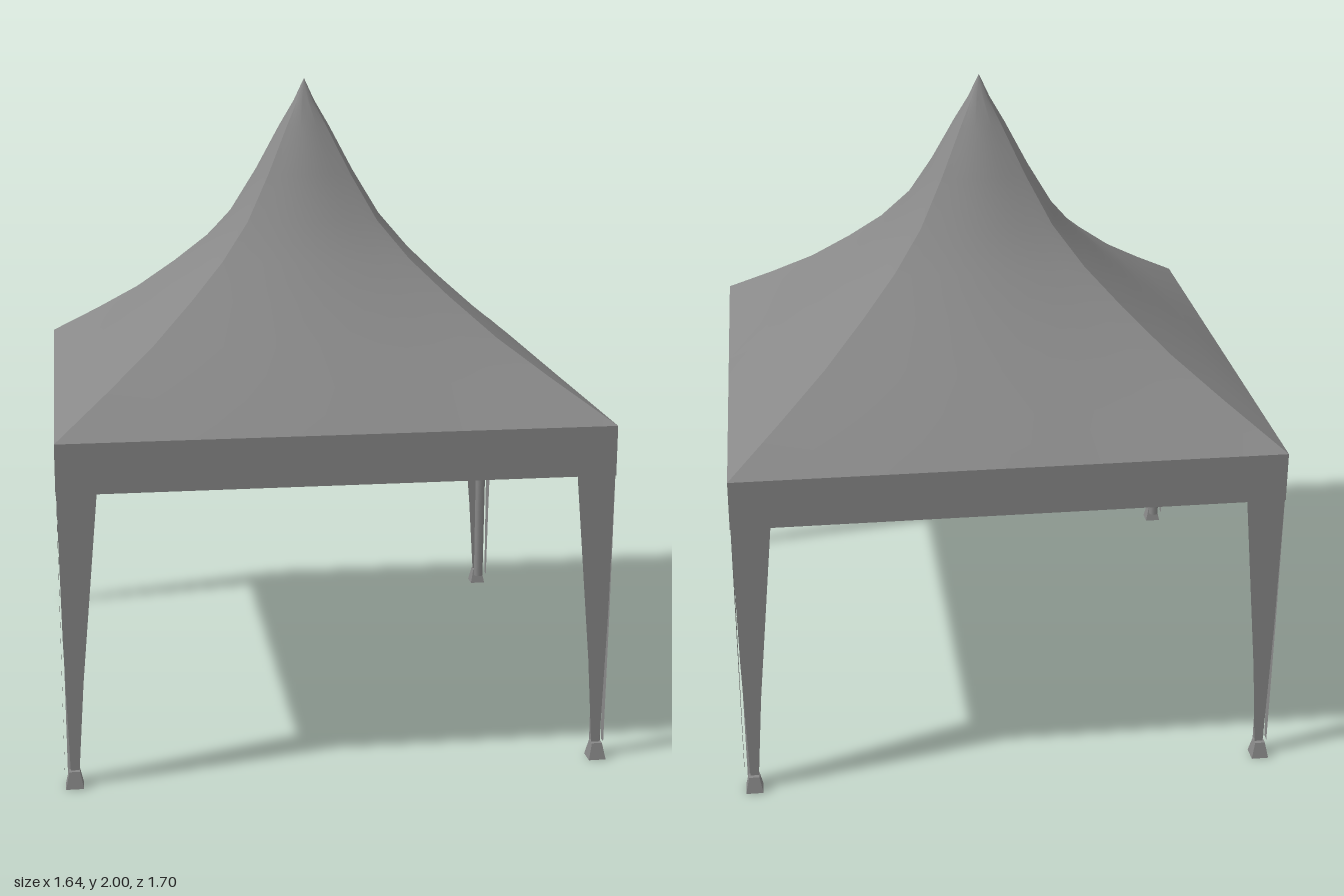
import * as THREE from 'three';
import { toCreasedNormals } from 'three/addons/utils/BufferGeometryUtils.js';

const HX = 0.818, HZ = 0.828; // half width and half depth of the canopy
const EAVE = 1.04, HEM = 0.89;

// Swept roof: rings that change from nearly round at the peak to square at the eave
function roofGeometry() {
  // height, radius at the middle of a side, squareness
  const rings = [
    [1.992, 0.004, 0], [1.93, 0.033, 0.2], [1.85, 0.08, 0.35], [1.71, 0.155, 0.45],
    [1.57, 0.24, 0.5], [1.46, 0.335, 0.57], [1.36, 0.44, 0.66],
    [1.25, 0.565, 0.74], [1.15, 0.69, 0.85], [EAVE, 0.82, 1],
  ];
  const n = 48, pos = [0, 2, 0], idx = [];
  rings.forEach(([y, r, k], j) => {
    for (let i = 0; i < n; i++) {
      const a = (i / n) * Math.PI * 2, c = Math.cos(a), s = Math.sin(a);
      const d = r * (1 + k * (1 / Math.max(Math.abs(c), Math.abs(s)) - 1));
      pos.push((c * d * HX) / 0.82, y, (s * d * HZ) / 0.82);
      const b = 1 + j * n + i, b2 = 1 + j * n + ((i + 1) % n);
      if (j === 0) idx.push(0, b2, b);
      else idx.push(b - n, b2 - n, b, b2 - n, b2, b);
    }
  });
  const g = new THREE.BufferGeometry();
  g.setAttribute('position', new THREE.Float32BufferAttribute(pos, 3));
  g.setIndex(idx);
  return toCreasedNormals(g, 0.5);
}

// Flat fabric panel from outline points
function panel(points) {
  return new THREE.ShapeGeometry(new THREE.Shape(points.map(([x, y]) => new THREE.Vector2(x, y))));
}

export function createModel() {
  const model = new THREE.Group();
  model.name = 'canopyTent';
  const fabric = new THREE.MeshStandardMaterial({ color: 0x888888, side: THREE.DoubleSide });
  fabric.name = 'greyFabric';
  const add = (parent, name, geometry) => {
    const mesh = new THREE.Mesh(geometry, fabric);
    mesh.name = name;
    parent.add(mesh);
    return mesh;
  };

  add(model, 'roof', roofGeometry());

  // Hanging valance around the eave
  for (let i = 0; i < 4; i++) {
    const w = i % 2 ? HZ : HX, d = i % 2 ? HX : HZ;
    const g = panel([[-w, HEM], [w, HEM], [w, EAVE], [-w, EAVE]]);
    g.translate(0, 0, d).rotateY((i * Math.PI) / 2);
    add(model, 'valance', g);
  }

  // Corner legs: two tapering panels meeting at a right angle, a slim pole and a foot
  for (const sx of [-1, 1]) for (const sz of [-1, 1]) {
    const leg = new THREE.Group();
    leg.name = (sz > 0 ? 'front' : 'back') + (sx > 0 ? 'Left' : 'Right') + 'Leg';
    // distances inward from the corner
    const outline = (top, mid) => panel([
      [0, HEM + 0.01], [top, HEM + 0.01], [mid, 0.32], [0.043, 0.04], [0.018, 0.04], [0.006, 0.45],
    ]);
    add(leg, 'widePanel', outline(0.115, 0.062).scale(-1, 1, 1).translate(HX - 0.002, 0, HZ - 0.002));
    add(leg, 'sidePanel', outline(0.105, 0.058).rotateY(Math.PI / 2).translate(HX - 0.002, 0, HZ - 0.002));
    add(leg, 'pole', new THREE.CylinderGeometry(0.02, 0.017, HEM, 8)
      .translate(HX - 0.028, HEM / 2 + 0.03, HZ - 0.026));
    add(leg, 'foot', toCreasedNormals(new THREE.CylinderGeometry(0.022, 0.037, 0.05, 4)
      .rotateY(Math.PI / 4).translate(HX - 0.031, 0.025, HZ - 0.005), 0.5));
    leg.scale.set(sx, 1, sz);
    model.add(leg);
  }
  return model;
}
